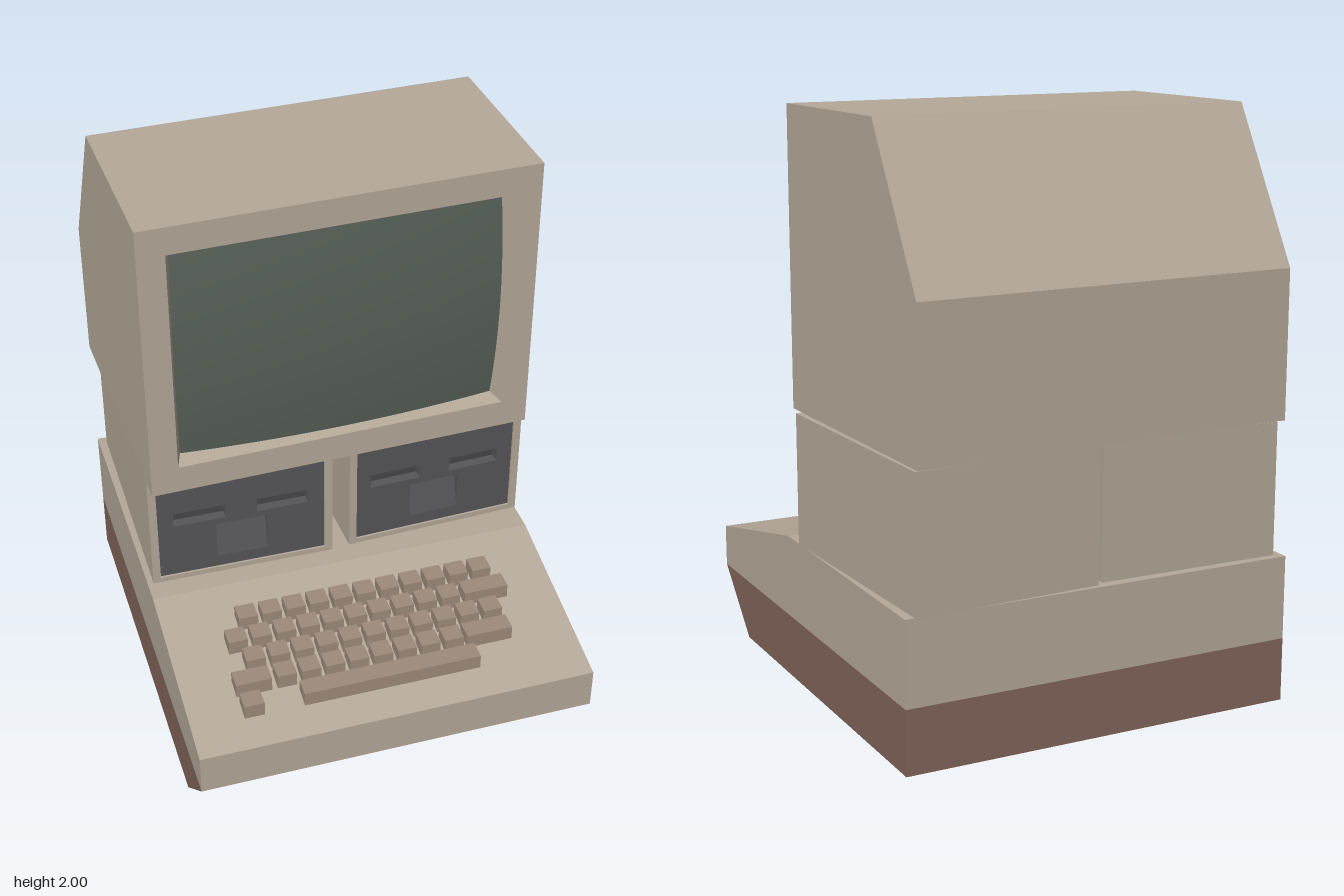
import * as THREE from 'three';

const mat = (color) => new THREE.MeshStandardMaterial({ color });
const beige = mat(0xb5a999), brown = mat(0x82655a), keyMat = mat(0x9e8b7c);
const dark = mat(0x56565a), darker = mat(0x47474b), glass = mat(0x586259);

function add(parent, name, geometry, material, x = 0, y = 0, z = 0) {
  const mesh = new THREE.Mesh(geometry, material);
  mesh.name = name;
  mesh.position.set(x, y, z);
  parent.add(mesh);
  return mesh;
}

// Side profile of [z, y] points, extruded across x and centred
function profile(points, width) {
  const shape = new THREE.Shape(points.map(([z, y]) => new THREE.Vector2(z, y)));
  return new THREE.ExtrudeGeometry(shape, { depth: width, bevelEnabled: false })
    .translate(0, 0, -width / 2).rotateY(-Math.PI / 2);
}

function rectPoints([x0, y0, x1, y1]) {
  return [[x0, y0], [x1, y0], [x1, y1], [x0, y1]].map(([x, y]) => new THREE.Vector2(x, y));
}

// Upright plate with rectangular holes, back face at z = 0
function plate(outer, holes, depth) {
  const shape = new THREE.Shape(rectPoints(outer));
  for (const h of holes) shape.holes.push(new THREE.Path(rectPoints(h).reverse()));
  return new THREE.ExtrudeGeometry(shape, { depth, bevelEnabled: false });
}

// Tapered wall between a front rectangle and a smaller rear rectangle
function taper(front, zFront, rear, zRear) {
  const f = rectPoints(front), r = rectPoints(rear), pos = [];
  for (let i = 0; i < 4; i++) {
    const j = (i + 1) % 4;
    const a = [f[i].x, f[i].y, zFront], b = [f[j].x, f[j].y, zFront];
    const c = [r[j].x, r[j].y, zRear], d = [r[i].x, r[i].y, zRear];
    pos.push(...a, ...b, ...c, ...a, ...c, ...d);
  }
  const g = new THREE.BufferGeometry();
  g.setAttribute('position', new THREE.Float32BufferAttribute(pos, 3));
  g.computeVertexNormals();
  return g;
}

function createMonitor() {
  const g = new THREE.Group();
  g.name = 'monitor';
  const front = 0.4725, frameDepth = 0.09, w = 0.68, seam = front - frameDepth;
  const opening = [-0.585, 1.07, 0.585, 1.9];
  add(g, 'monitorCase', profile([
    [seam, 0.97], [seam, 2], [-0.18, 2], [-0.4725, 1.48], [-0.4725, 0.97],
  ], w * 2), beige);
  add(g, 'monitorFrame', plate([-w, 0.97, w, 2], [opening], frameDepth), beige, 0, 0, seam);
  const bezel = add(g, 'screenBezel', taper(opening, front, [-0.56, 1.085, 0.56, 1.885], front - 0.065), beige.clone());
  bezel.material.side = THREE.DoubleSide;

  // Glass bulging towards the viewer
  const hw = 0.575, hh = 0.407;
  const screen = new THREE.PlaneGeometry(hw * 2, hh * 2, 20, 16);
  const p = screen.attributes.position;
  for (let i = 0; i < p.count; i++) {
    const u = p.getX(i) / hw, v = p.getY(i) / hh;
    p.setZ(i, -0.01 - 0.025 * u * u - 0.025 * v * v);
  }
  screen.computeVertexNormals();
  add(g, 'screen', screen, glass, 0, 1.485, front);
  g.position.set(-0.011, 0, -0.3275);
  g.rotation.y = 0.029;
  return g;
}

function createDrive(name, width, depth) {
  const g = new THREE.Group();
  g.name = name;
  const hw = width / 2, front = depth / 2, rim = 0.05;
  const y0 = 0.505, y1 = 0.97;
  const inner = [-hw + 0.028, 0.53, hw - 0.028, 0.945];
  add(g, 'driveCase', new THREE.BoxGeometry(width, y1 - y0, depth - rim), beige, 0, (y0 + y1) / 2, -rim / 2);
  add(g, 'driveRim', plate([-hw, y0, hw, y1], [inner], rim), beige, 0, 0, front - rim);

  // Dark face with two slots and a finger scoop
  const scoop = [-0.092, 0.575, 0.092, 0.72];
  const slots = [[-0.243, 0.745, -0.057, 0.8], [0.057, 0.745, 0.243, 0.8]];
  add(g, 'driveFace', plate(inner, [scoop, ...slots], 0.036), dark, 0, 0, front - 0.044);
  add(g, 'driveFaceBack', new THREE.BoxGeometry(width - 0.06, 0.41, 0.004), darker, 0, 0.7375, front - 0.046);
  const drop = 0.145, d = 0.034;
  const ramp = add(g, 'fingerScoop', new THREE.PlaneGeometry(0.184, Math.hypot(drop, d)), dark,
    0, 0.6475, front - 0.008 - d / 2);
  ramp.rotation.x = -Math.atan2(d, drop);
  return g;
}

function createKeyboard() {
  const g = new THREE.Group();
  g.name = 'keyboard';
  const pitch = 0.086, size = 0.068;
  const run = (start, n) => Array.from({ length: n }, (_, i) => [start + i * pitch, size]);
  // Each row: centre z, then keys as [left edge, width]
  const rows = [
    [0.325, run(-0.44, 11)],
    [0.412, [...run(-0.5, 10), [0.36, 0.16]]],
    [0.498, run(-0.46, 11)],
    [0.583, [[-0.52, 0.125], ...run(-0.375, 8), [0.308, 0.165]]],
    [0.67, [[-0.515, 0.07], [-0.305, 0.63]]],
  ];
  for (const [z, keys] of rows) {
    const surface = 0.51 - (z - 0.16) * 0.212;
    for (const [x, w] of keys) {
      add(g, w > 0.5 ? 'spaceBar' : 'key', new THREE.BoxGeometry(w, 0.06, size), keyMat, x + w / 2, surface + 0.016, z);
    }
  }
  return g;
}

export function createModel() {
  const model = new THREE.Group();
  model.name = 'desktopComputer';

  // Two-tone base housing
  add(model, 'baseUpper', profile([
    [0.82, 0.22], [0.82, 0.37], [0.16, 0.51], [-0.815, 0.51], [-0.815, 0.22],
  ], 1.4), beige);
  add(model, 'baseLower', profile([
    [0.59, 0], [0.82, 0.22], [-0.815, 0.22], [-0.815, 0],
  ], 1.4), brown);
  model.add(createKeyboard());

  // Disk drives, set down slightly askew
  const rightDrive = createDrive('rightDrive', 0.66, 0.865);
  rightDrive.position.set(-0.345, 0, -0.35);
  rightDrive.rotation.y = -0.01;
  const leftDrive = createDrive('leftDrive', 0.655, 0.875);
  leftDrive.position.set(0.357, 0, -0.372);
  leftDrive.rotation.y = 0.04;
  model.add(rightDrive, leftDrive, createMonitor());
  return model;
}
